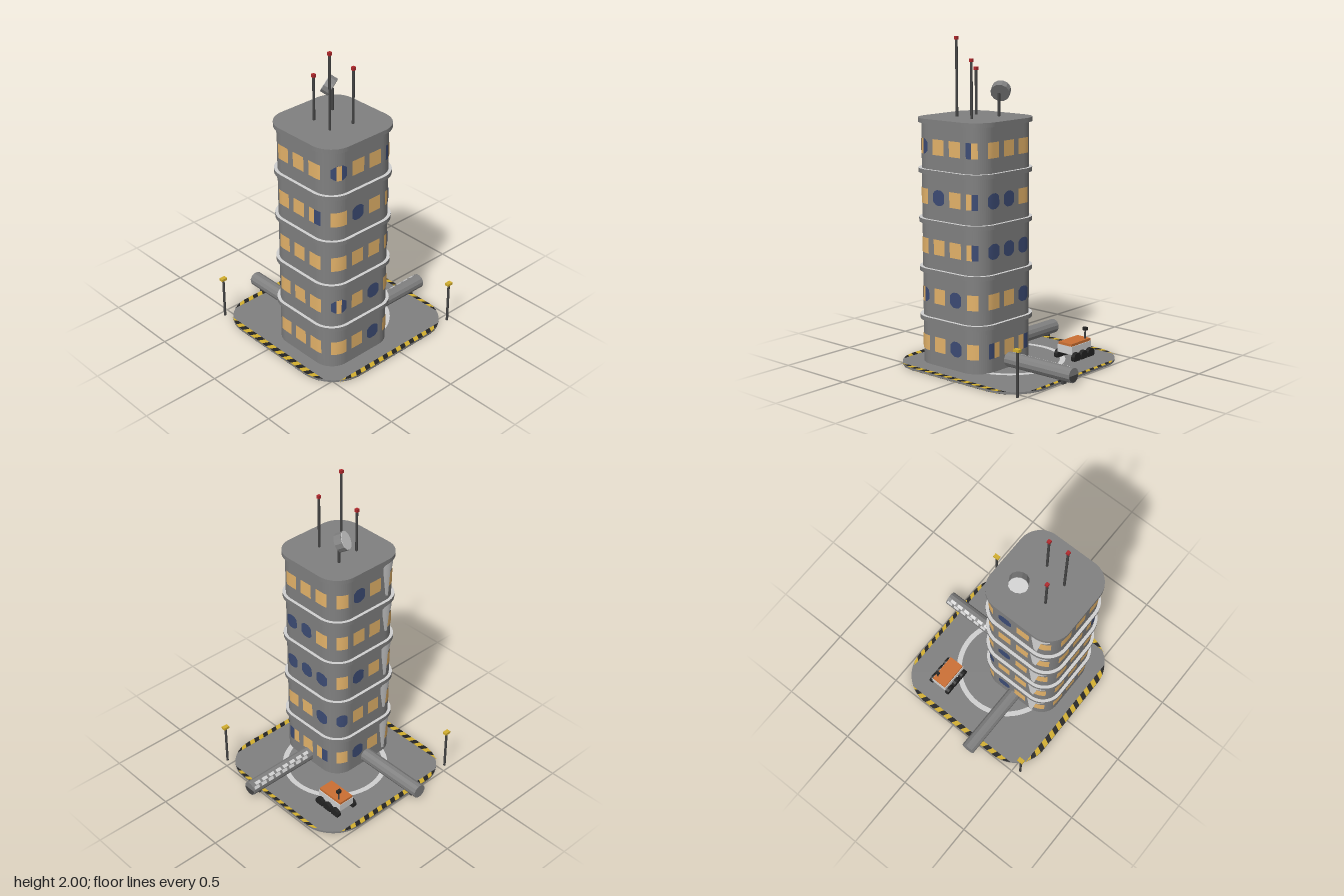
import * as THREE from 'three';

const mat = (name, color, side = THREE.FrontSide) => {
  const m = new THREE.MeshStandardMaterial({ color, side });
  m.name = name;
  return m;
};

export function createModel() {
  const M = {
    grey: mat('concrete grey', 0x808080),
    dark: mat('dark metal', 0x444444),
    black: mat('black', 0x232323),
    light: mat('pale grey', 0xd0d0d0, THREE.DoubleSide),
    tan: mat('lit window', 0xe4b36a),
    navy: mat('dark window', 0x3c4b74),
    orange: mat('orange', 0xcb6f32),
    yellow: mat('yellow', 0xd2ae2e),
    red: mat('red', 0xb0282c),
  };
  const root = new THREE.Group();
  const add = (name, geo, m, x = 0, y = 0, z = 0, parent = root) => {
    const mesh = new THREE.Mesh(geo, m);
    mesh.name = name;
    mesh.position.set(x, y, z);
    parent.add(mesh);
    return mesh;
  };
  const group = (name, x = 0, y = 0, z = 0) => {
    const g = new THREE.Group();
    g.name = name;
    g.position.set(x, y, z);
    root.add(g);
    return g;
  };
  const box = (w, h, d) => new THREE.BoxGeometry(w, h, d);
  // Faceted cylinder whose lowest side lies flat
  const prism = (r, len, sides) => {
    const g = new THREE.CylinderGeometry(r, r, len, sides).rotateY(Math.PI / sides).toNonIndexed();
    g.computeVertexNormals();
    return g;
  };
  const upright = (shape, h) => new THREE.ExtrudeGeometry(shape, { depth: h, bevelEnabled: false, curveSegments: 8 }).rotateX(-Math.PI / 2);
  // Square slab with rounded corners, standing on its own y = 0
  const slab = (half, r, h) => {
    const s = new THREE.Shape(), f = half - r;
    s.absarc(f, f, r, 0, Math.PI / 2);
    s.absarc(-f, f, r, Math.PI / 2, Math.PI);
    s.absarc(-f, -f, r, Math.PI, Math.PI * 1.5);
    s.absarc(f, -f, r, Math.PI * 1.5, Math.PI * 2);
    return upright(s, h);
  };

  // Landing pad with painted circle
  const PAD = 0.535, PAD_R = 0.24, TOP = 0.014;
  const pad = group('landingPad', -0.042, 0, 0.039);
  add('padSlab', slab(PAD, PAD_R, TOP - 0.001), M.grey, 0, 0.001, 0, pad);
  add('padCircle', new THREE.RingGeometry(0.308, 0.342, 64).rotateX(-Math.PI / 2), M.light, 0.007, TOP + 0.001, -0.002, pad);
  for (const mid of [-Math.PI / 4, Math.PI * 0.75])
    add('undersideArc', new THREE.RingGeometry(0.308, 0.342, 24, 1, mid - 0.95, 1.9).rotateX(-Math.PI / 2), M.light, 0.007, 0.0003, -0.002, pad);

  // Hazard stripes along the four edges, clipped by the rounded corners;
  // the left and front ones are painted underneath too
  const edgeAt = (u) => {
    const over = Math.max(0, Math.abs(u) - (PAD - PAD_R));
    return PAD - PAD_R + Math.sqrt(Math.max(0, PAD_R ** 2 - over ** 2));
  };
  [[0.034, false], [0.04, true], [0.034, true], [0.025, false]].forEach(([depth, under], side) => {
    const inner = PAD - depth, step = 0.038, slant = 0.02;
    const reach = PAD - PAD_R + Math.sqrt(2 * PAD_R * depth - depth ** 2);
    const n = Math.floor(reach / step);
    for (let i = -n; i < n; i++) {
      const pts = [[i * step, inner], [(i + 1) * step, inner]];
      for (const t of [1, 0.5, 0]) {
        const u = (i + t) * step + slant;
        pts.push([u, Math.max(inner + 0.001, edgeAt(u))]);
      }
      const shape = new THREE.Shape(pts.map((p) => new THREE.Vector2(...p)));
      for (const y of under ? [0, TOP] : [TOP])
        add('hazardStripe', upright(shape, 0.001), i & 1 ? M.black : M.yellow, 0, y, 0, pad).rotation.y = side * Math.PI / 2;
    }
  });

  // Tower: rounded square shaft with a pale-faced ledge above each floor
  const HALF = 0.265, R = 0.125, FLAT = HALF - R, FLOOR = 0.302;
  const tower = group('tower', -0.191, 0, 0.174);
  add('towerShaft', slab(HALF, R, 1.49), M.grey, 0, TOP, 0, tower);
  for (let i = 1; i <= 5; i++)
    add('floorLedge', slab(0.285, 0.145, 0.027), i < 5 ? [M.light, M.grey] : M.grey, 0, i * FLOOR - 0.016, 0, tower);

  // Thin plate following one wall from u0 to u1 across it; cols gives [low, high] heights
  const REACH = FLAT + R * Math.SQRT1_2;
  const plate = (name, side, u0, u1, cols, m, off = 0.003) => {
    const pos = [], idx = [];
    cols.forEach(([lo, hi], j) => {
      const u = u0 + (u1 - u0) * j / (cols.length - 1);
      const a = Math.asin(Math.max(0, Math.abs(u) - FLAT) / R);
      const x = u + Math.sign(u) * off * Math.sin(a), z = FLAT + (R + off) * Math.cos(a);
      pos.push(x, lo, z, x, hi, z);
      const k = 2 * j;
      if (j) idx.push(k - 2, k, k + 1, k - 2, k + 1, k - 1);
    });
    const g = new THREE.BufferGeometry();
    g.setAttribute('position', new THREE.Float32BufferAttribute(pos, 3));
    g.setIndex(idx);
    g.computeVertexNormals();
    add(name, g, m, 0, 0, 0, tower).rotation.y = side * Math.PI / 2;
  };

  // Windows per wall (front, left, back, right), floors from the ground up:
  // T lit square, B dark rounded, L dark then lit, R lit then dark, S dark with a lit strip
  const walls = [
    { at: [-0.185, -0.052, 0.08, 0.212], rows: ['TTBT', 'STBT', 'TTTR', 'TBTR', 'STTL'] },
    { at: [-0.132, 0, 0.132], rows: ['LTR', 'TTB', 'BBB', 'BBT', 'TTT'] },
    { at: [-0.212, -0.08, 0.052, 0.185], rows: ['TBTT', 'BTTT', 'TBTT', 'TTTT', 'TBTT'] },
    { at: [-0.132, 0, 0.132], rows: ['TTT', 'TTT', 'TTT', 'TTR', 'TTT'] },
  ];
  const square = [1, 1, 1, 1, 1, 1, 1], round = [0.55, 0.85, 1, 1, 1, 0.85, 0.55];
  walls.forEach(({ at, rows }, side) => rows.forEach((row, f) => {
    const y = 0.148 + f * FLOOR, h = 0.047;
    const pane = (a, b, form, m, off) => plate('window', side, a, b, form.map((k) => [y - h * k, y + h * k]), m, off);
    [...row].forEach((c, k) => {
      const a = Math.max(-REACH, at[k] - 0.045), b = Math.min(REACH, at[k] + 0.045), mid = (a + b) / 2;
      if (c === 'T') pane(a, b, square, M.tan);
      else if (c === 'B' || c === 'S') pane(a, b, round, M.navy);
      else {
        pane(a, mid, square, c === 'R' ? M.tan : M.navy);
        pane(mid, b, square, c === 'R' ? M.navy : M.tan);
      }
      if (c === 'S') pane(mid - 0.018, mid + 0.01, square, M.tan, 0.005);
    });
  }));

  // Pale weathering running down the back wall beside its corner
  for (let f = 0; f < 5; f++) {
    const y = 0.148 + f * FLOOR, drip = f % 2 ? 0.04 : 0;
    const cols = [[0.07, 0.11], [-0.1 + drip, 0.12], [-0.11 + drip, 0.12], [0.06, 0.12], [0.065, 0.11], [0.08, 0.1]];
    plate('weatherStreak', 2, 0.115, 0.222, cols.map(([lo, hi]) => [y + lo, y + hi]), M.light, 0.005);
  }

  // Roof antennas with red tips
  const ROOF = 1.52;
  for (const [x, z, top] of [[-0.277, 0.242, 2], [-0.26, 0.09, 1.81], [-0.127, 0.275, 1.875]]) {
    const len = top - 0.01 - ROOF;
    add('antenna', new THREE.CylinderGeometry(0.008, 0.008, len, 8), M.dark, x, ROOF + len / 2, z);
    add('antennaTip', box(0.02, 0.02, 0.02), M.red, x, top - 0.01, z);
  }

  // Roof dish, facing up and to the back
  add('dishMast', new THREE.CylinderGeometry(0.009, 0.009, 0.14, 8), M.dark, -0.096, ROOF + 0.07, 0.068);
  const dish = group('dish', -0.1, 1.672, 0.045);
  dish.quaternion.setFromUnitVectors(new THREE.Vector3(0, 1, 0), new THREE.Vector3(-0.45, 0.47, -0.76).normalize());
  add('dishBody', prism(0.059, 0.05, 12), M.grey, 0, 0, 0, dish);
  add('dishFace', prism(0.058, 0.004, 12), M.light, 0, 0.026, 0, dish);

  // Access tunnels with a foot near each outer end
  const LEN = 0.52;
  add('sideTunnel', prism(0.046, LEN, 12).rotateZ(Math.PI / 2), M.grey, 0.575 - LEN / 2, 0.065, 0.174);
  add('tunnelEndStain', new THREE.CircleGeometry(0.042, 12, Math.PI, Math.PI).rotateY(Math.PI / 2), M.dark, 0.576, 0.065, 0.174);
  add('backTunnel', prism(0.046, LEN, 12).rotateX(Math.PI / 2), M.grey, -0.191, 0.065, -0.577 + LEN / 2);
  add('tunnelFoot', box(0.02, 0.03, 0.03), M.dark, 0.5, 0.015, 0.174);
  add('tunnelFoot', box(0.03, 0.03, 0.02), M.dark, -0.191, 0.015, -0.512);
  // Worn paint on the two upper facets at the tunnel's back
  [Math.PI / 6, Math.PI / 3].forEach((a, row) => {
    for (let i = 0; i < 8; i++)
      add('tunnelWear', box(0.04, 0.002, 0.021), M.light, 0.12 + i * 0.058 + row * 0.02,
        0.065 + 0.0447 * Math.cos(a), 0.174 - 0.0447 * Math.sin(a)).rotation.x = -a;
  });

  // Lamp posts at opposite corners
  for (const [x, z] of [[-0.545, -0.465], [0.46, 0.542]]) {
    add('lampPost', new THREE.CylinderGeometry(0.008, 0.008, 0.27, 8), M.dark, x, 0.135, z);
    add('lampHead', box(0.04, 0.016, 0.028), M.yellow, x, 0.278, z);
  }

  // Six-wheeled rover
  const rover = group('rover', 0.236, 0, -0.262);
  add('roverChassis', box(0.112, 0.05, 0.194), M.light, 0, 0.079, 0, rover);
  add('roverDeck', box(0.102, 0.016, 0.188), M.orange, 0, 0.112, 0, rover);
  for (const side of [-1, 1])
    for (const z of [-0.069, 0, 0.069])
      add('roverWheel', prism(0.034, 0.026, 12).rotateZ(Math.PI / 2), M.black, side * 0.067, 0.033, z, rover);
  add('roverMast', new THREE.CylinderGeometry(0.005, 0.005, 0.06, 8), M.dark, 0.034, 0.148, -0.062, rover);
  add('roverCamera', box(0.028, 0.02, 0.02), M.black, 0.034, 0.184, -0.062, rover);
  return root;
}
